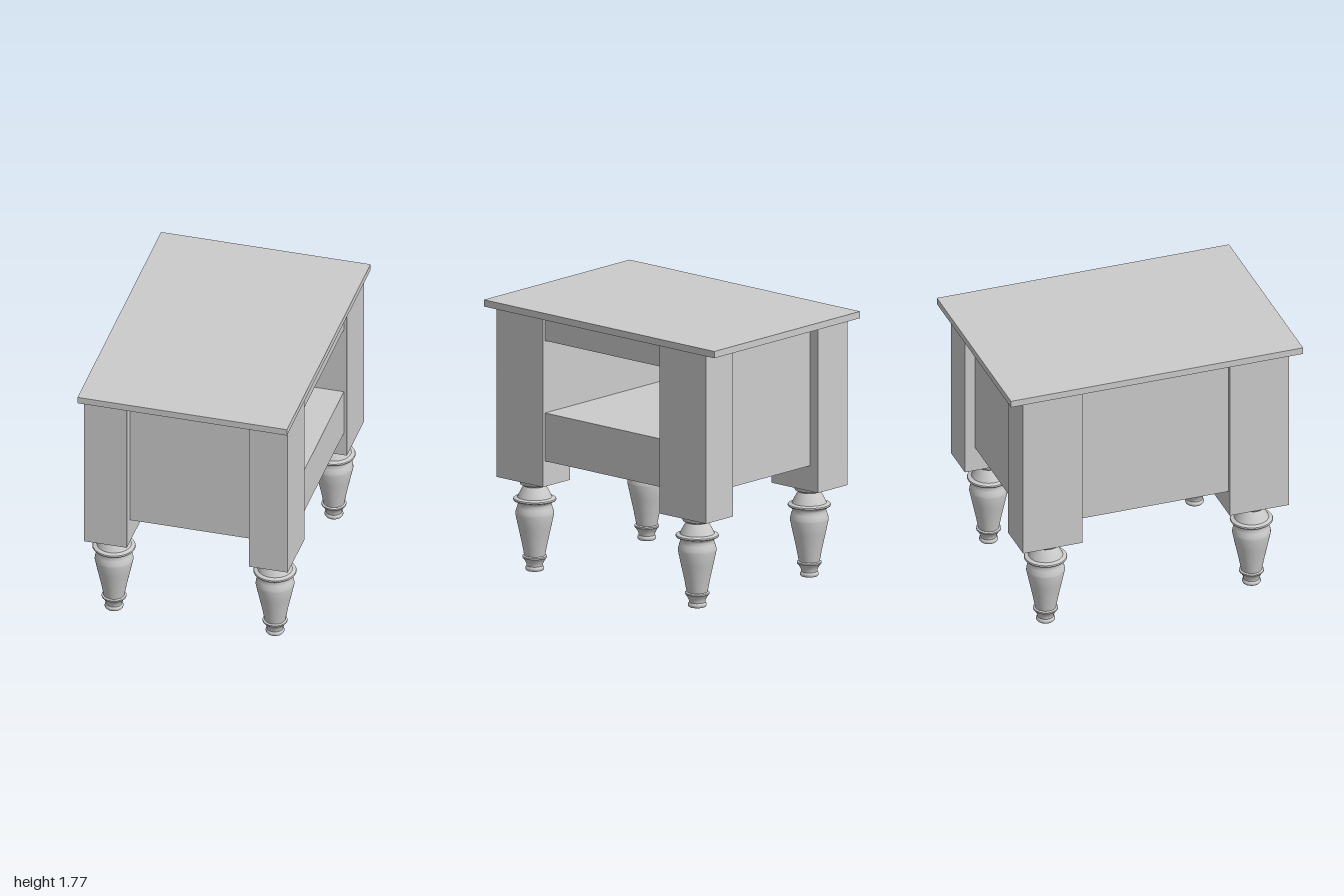
import * as THREE from 'three';
import { toCreasedNormals } from 'three/addons/utils/BufferGeometryUtils.js';

const material = new THREE.MeshStandardMaterial({ color: 0xcccccc });

function add(parent, name, geometry) {
  const mesh = new THREE.Mesh(geometry, material);
  mesh.name = name;
  parent.add(mesh);
  return mesh;
}

// Box given by its minimum and maximum corners
function box(parent, name, [x0, y0, z0], [x1, y1, z1]) {
  const mesh = add(parent, name, new THREE.BoxGeometry(x1 - x0, y1 - y0, z1 - z0));
  mesh.position.set((x0 + x1) / 2, (y0 + y1) / 2, (z0 + z1) / 2);
  return mesh;
}

// Turned leg profile: radius, height
const legProfile = [
  [0, 0], [0.054, 0], [0.06, 0.008], [0.06, 0.02], [0.052, 0.03], [0.054, 0.045],
  [0.064, 0.065], [0.074, 0.08], [0.08, 0.086], [0.08, 0.095], [0.068, 0.1],
  [0.085, 0.19], [0.107, 0.29], [0.125, 0.375], [0.124, 0.39], [0.115, 0.42],
  [0.108, 0.44], [0.114, 0.455], [0.137, 0.466], [0.14, 0.472], [0.137, 0.48],
  [0.112, 0.488], [0.104, 0.505], [0.086, 0.54], [0.073, 0.562], [0.078, 0.568],
  [0.092, 0.573], [0.096, 0.583], [0.1, 0.59], [0.1, 0.61], [0, 0.61],
].map(([r, y]) => new THREE.Vector2(r, y));

export function createModel() {
  const table = new THREE.Group();
  table.name = 'sideTable';

  box(table, 'tableTop', [-0.7, 1.73, -1], [0.7, 1.775, 1]);

  // Cabinet body: a z-y section around the open compartment, extruded across x
  const section = new THREE.Shape();
  section.moveTo(-0.84, 0.78).lineTo(0.84, 0.78).lineTo(0.84, 1.73).lineTo(-0.84, 1.73).closePath();
  const opening = new THREE.Path();
  opening.moveTo(-0.505, 1.1).lineTo(-0.505, 1.58).lineTo(0.505, 1.58).lineTo(0.505, 1.1).closePath();
  section.holes.push(opening);
  const bodyGeometry = new THREE.ExtrudeGeometry(section, { depth: 1.28, bevelEnabled: false });
  const body = add(table, 'cabinetBody', bodyGeometry);
  body.rotation.y = Math.PI / 2;
  body.position.x = -0.62;

  // Solid panel closing the compartment on the far side
  box(table, 'closingPanel', [-0.66, 0.78, -0.84], [-0.62, 1.73, 0.84]);

  // Corner posts, each standing on a turned leg
  const legGeometry = toCreasedNormals(new THREE.LatheGeometry(legProfile, 40), 0.75);
  for (const z of [-1, 1]) {
    const z0 = z < 0 ? -0.91 : 0.505;
    box(table, 'cornerPost', [-0.68, 0.61, z0], [-0.395, 1.73, z0 + 0.405]);
    box(table, 'cornerPost', [0.42, 0.61, z0], [0.68, 1.73, z0 + 0.405]);
    for (const x of [-1, 1]) {
      add(table, 'turnedLeg', legGeometry).position.set(x * 0.538, 0, z * 0.705);
    }
  }
  return table;
}
